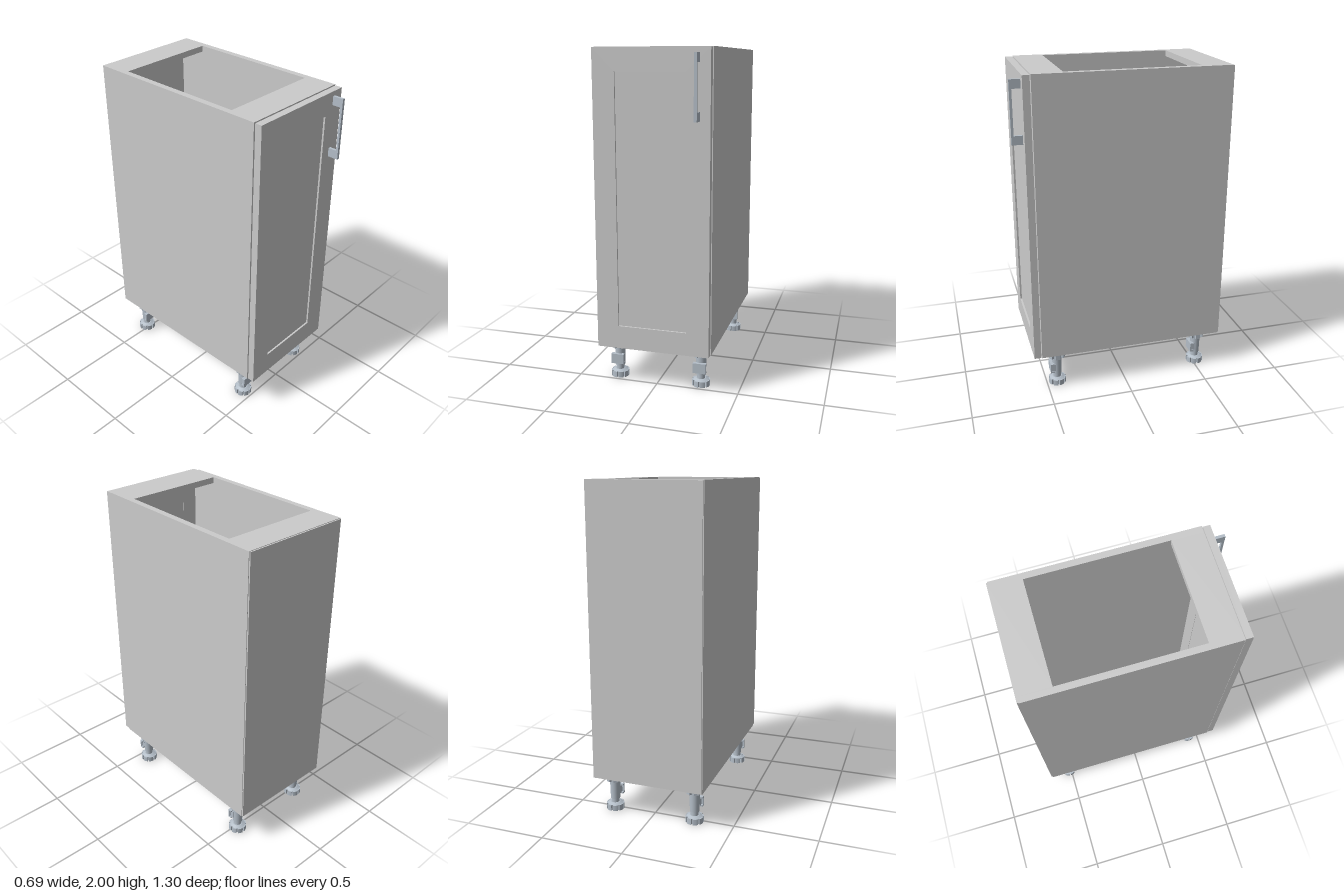
import * as THREE from 'three';

const grey = new THREE.MeshStandardMaterial({ color: 0xcccccc });
const metal = new THREE.MeshStandardMaterial({ color: 0xb4bec8 });

// Box given by its limits on each axis
function box(name, [x0, x1], [y0, y1], [z0, z1], material = grey) {
  const mesh = new THREE.Mesh(new THREE.BoxGeometry(x1 - x0, y1 - y0, z1 - z0), material);
  mesh.position.set((x0 + x1) / 2, (y0 + y1) / 2, (z0 + z1) / 2);
  mesh.name = name;
  return mesh;
}

function cylinder(name, rTop, rBottom, y0, y1, sides = 24) {
  const mesh = new THREE.Mesh(new THREE.CylinderGeometry(rTop, rBottom, y1 - y0, sides), metal);
  mesh.position.y = (y0 + y1) / 2;
  mesh.name = name;
  return mesh;
}

// Upright disc with evenly spaced notches around its rim
function notchedDisc(name, radius, inner, notches, y0, y1) {
  const shape = new THREE.Shape();
  const step = (Math.PI * 2) / notches;
  for (let i = 0; i < notches; i++) {
    const a = i * step;
    shape.absarc(0, 0, radius, a + step * 0.12, a + step * 0.88, false);
    shape.absarc(0, 0, inner, a + step * 0.9, a + step * 1.1, false);
  }
  const geometry = new THREE.ExtrudeGeometry(shape, { depth: y1 - y0, bevelEnabled: false, curveSegments: 5 });
  geometry.rotateX(-Math.PI / 2);
  const mesh = new THREE.Mesh(geometry, metal);
  mesh.position.y = y0;
  mesh.name = name;
  return mesh;
}

function createLeg() {
  const leg = new THREE.Group();
  leg.name = 'leg';
  leg.add(
    notchedDisc('foot', 0.055, 0.042, 8, 0, 0.036),
    cylinder('footCap', 0.03, 0.048, 0.036, 0.044),
    cylinder('threadedStem', 0.024, 0.024, 0.04, 0.075),
    cylinder('column', 0.032, 0.029, 0.068, 0.19),
    cylinder('socket', 0.038, 0.036, 0.186, 0.232),
    cylinder('mountingFlange', 0.057, 0.057, 0.229, 0.24),
  );
  // Ribbed collar below the flange
  for (let i = 0; i < 6; i++) {
    const rib = new THREE.Group();
    rib.name = 'collarRib';
    rib.add(box('rib', [0.03, 0.052], [0.188, 0.232], [-0.014, 0.014], metal));
    rib.rotation.y = (i * Math.PI) / 3;
    leg.add(rib);
  }
  // Plinth clip on the front of the column
  leg.add(
    box('clipPlate', [-0.042, 0.038], [0.088, 0.15], [0.036, 0.046], metal),
    box('clipBase', [-0.03, 0.03], [0.095, 0.145], [0.012, 0.037], metal),
  );
  for (const y of [0.088, 0.14]) {
    leg.add(box('clipLip', [-0.042, 0.038], [y, y + 0.01], [0.022, 0.037], metal));
  }
  return leg;
}

function createDoor() {
  const door = new THREE.Group();
  door.name = 'door';
  // Frame with a rectangular opening for the recessed panel
  const frame = new THREE.Shape();
  frame.moveTo(-0.342, 0.241).lineTo(0.341, 0.241).lineTo(0.341, 1.996).lineTo(-0.342, 1.996).closePath();
  const opening = new THREE.Path();
  opening.moveTo(-0.21, 0.38).lineTo(-0.21, 1.865).lineTo(0.205, 1.865).lineTo(0.205, 0.38).closePath();
  frame.holes.push(opening);
  const mesh = new THREE.Mesh(new THREE.ExtrudeGeometry(frame, { depth: 0.042, bevelEnabled: false }), grey);
  mesh.position.z = 0.543;
  mesh.name = 'doorFrame';
  door.add(mesh, box('doorPanel', [-0.212, 0.207], [0.378, 1.867], [0.545, 0.574]));
  return door;
}

function createHandle() {
  const handle = new THREE.Group();
  handle.name = 'handle';
  const x = [0.264, 0.281];
  handle.add(box('handleBar', x, [1.6, 1.967], [0.636, 0.65], metal));
  for (const y of [1.6, 1.915]) {
    handle.add(box('handlePost', x, [y, y + 0.052], [0.585, 0.636], metal));
  }
  return handle;
}

export function createModel() {
  const model = new THREE.Group();
  model.name = 'baseCabinet';

  // Carcass
  const inner = [-0.309, 0.307];
  const depth = [-0.638, 0.538];
  model.add(
    box('rightSide', [-0.346, -0.309], [0.24, 2], depth),
    box('leftSide', [0.307, 0.345], [0.24, 2], depth),
    box('bottomPanel', inner, [0.24, 0.277], depth),
    box('backRail', inner, [1.963, 2], [-0.638, -0.456]),
    box('frontRail', inner, [1.963, 2], [0.355, 0.538]),
    box('backPanel', [-0.341, 0.341], [0.243, 1.997], [-0.646, -0.637]),
  );

  model.add(createDoor(), createHandle());

  // Four adjustable legs
  for (const x of [-0.26, 0.26]) {
    for (const z of [0.432, -0.517]) {
      const leg = createLeg();
      leg.position.set(x, 0, z);
      model.add(leg);
    }
  }
  return model;
}
